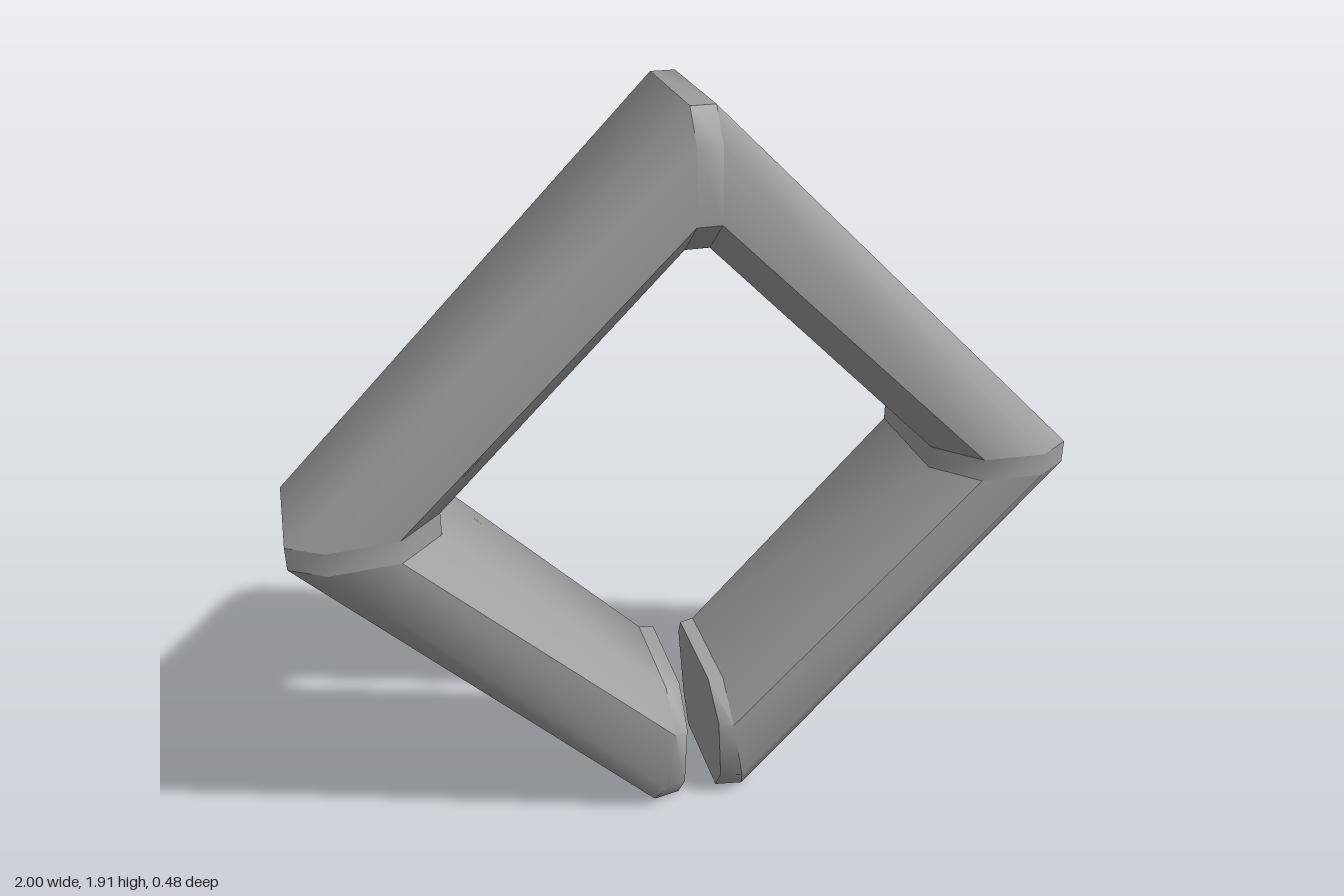
import * as THREE from 'three';
import { toCreasedNormals } from 'three/addons/utils/BufferGeometryUtils.js';

export function createModel() {
  const group = new THREE.Group();
  const grey = new THREE.MeshStandardMaterial({ color: 0xa0a0a0 });
  grey.name = 'plain grey';

  // Each cross-section has 8 corners: outer front, over the front face,
  // down the inner wall, and back out over the rear face.
  const bottomDepth = [0.18, 0.24, 0.24, 0.14, -0.16, -0.19, -0.16, -0.12];
  const sideDepth = [0.18, 0.24, 0.24, 0.14, -0.16, -0.19, -0.165, -0.12];
  const topDepth = [0.18, 0.24, 0.24, 0.14, -0.19, -0.21, -0.24, -0.16];
  const inset = [0, 0.08, 0.255, 0.34, 0.34, 0.29, 0.09, 0];
  const sideInset = [0, 0.09, 0.26, 0.365, 0.365, 0.32, 0.07, 0];
  const section = (depth, x, y) =>
    depth.map((z, i) => new THREE.Vector3(x(i), y(i), z));

  // Half of the path, from the gap round to the top corner
  const half = [
    section(bottomDepth.map((z) => z * 0.93), (i) => 0.054 - inset[i] * 0.04, (i) => inset[i]),
    section(bottomDepth, (i) => 0.125 - Math.min(0.045, inset[i] * 0.22), (i) => inset[i]),
    section(sideDepth, (i) => 1 - sideInset[i], (i) => 0.895 + sideInset[i] * 0.04),
    section(sideDepth, (i) => 1 - sideInset[i], (i) => 0.955 + sideInset[i] * 0.04),
    section(topDepth, () => 0.03, (i) => 1.91 - inset[i]),
  ];
  const mirrored = half
    .map((s) => s.map((p) => new THREE.Vector3(-p.x, p.y, p.z)))
    .reverse();
  const path = [...half, ...mirrored];

  function addMesh(name, points, crease) {
    const geometry = new THREE.BufferGeometry().setFromPoints(points);
    const mesh = new THREE.Mesh(toCreasedNormals(geometry, crease), grey);
    mesh.name = name;
    group.add(mesh);
  }

  // Four long bars and the narrow facets that join them at the corners
  const names = [
    'leftGapFacet', 'lowerLeftBar', 'leftCorner', 'upperLeftBar', 'topCorner',
    'upperRightBar', 'rightCorner', 'lowerRightBar', 'rightGapFacet',
  ];
  names.forEach((name, s) => {
    const points = [];
    for (let i = 0; i < 8; i++) {
      const j = (i + 1) % 8;
      const a = path[s][i], b = path[s][j], c = path[s + 1][i], d = path[s + 1][j];
      points.push(a, c, b, c, d, b);
    }
    addMesh(name, points, 0.86);
  });

  // Flat ends on both sides of the gap
  const first = path[0], last = path[path.length - 1];
  const leftEnd = [], rightEnd = [];
  for (let i = 1; i < 7; i++) {
    leftEnd.push(first[0], first[i], first[i + 1]);
    rightEnd.push(last[0], last[i + 1], last[i]);
  }
  addMesh('leftEnd', leftEnd, 0.5);
  addMesh('rightEnd', rightEnd, 0.5);

  return group;
}
